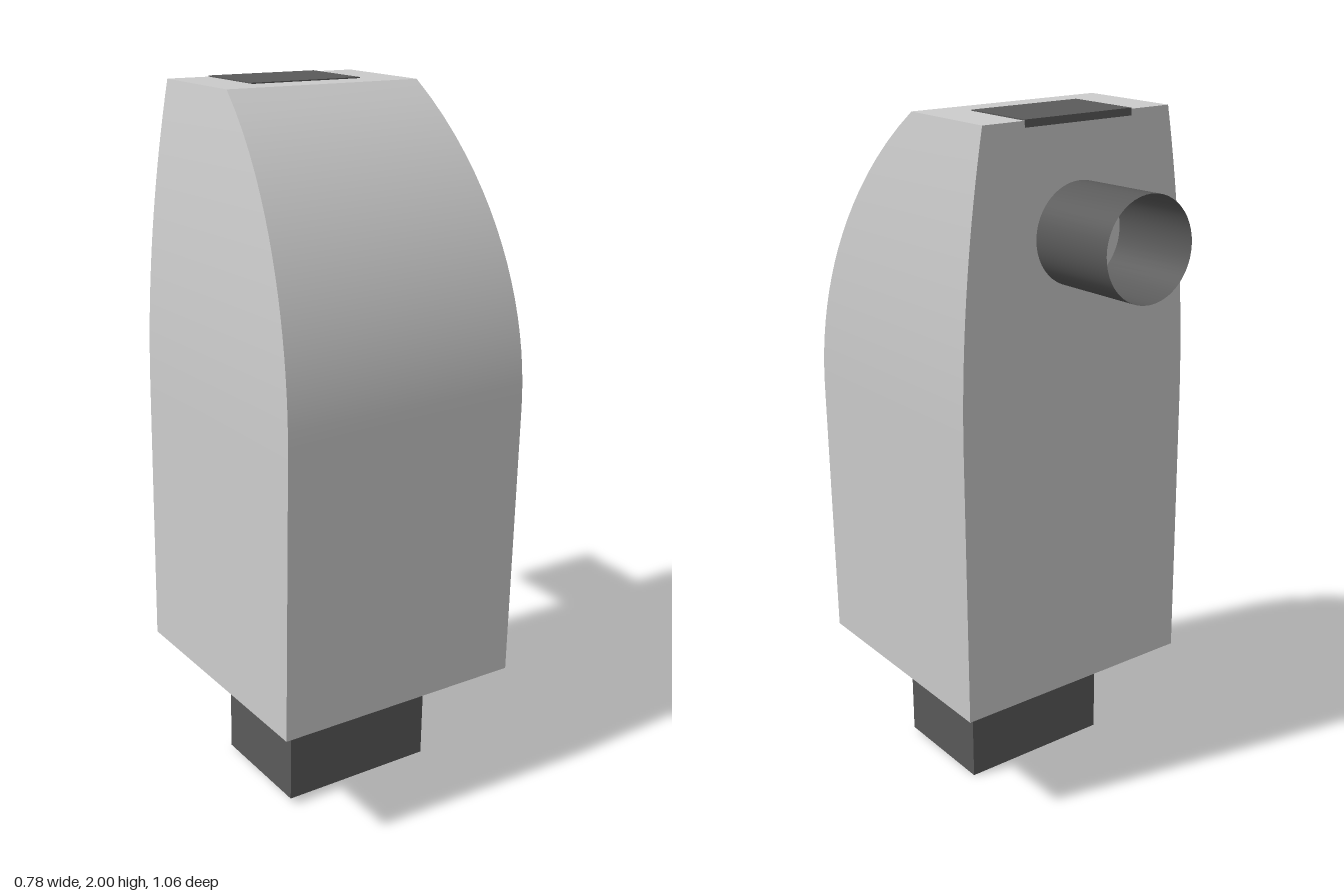
import * as THREE from 'three';

const HEIGHT = 1.645, STRAIGHT = 0.8;

// Inset of a circular arc that starts vertical at STRAIGHT and reaches `inset` at HEIGHT
function arcInset(y, inset) {
  const rise = HEIGHT - STRAIGHT;
  const radius = (inset * inset + rise * rise) / (2 * inset);
  const dy = Math.max(0, y - STRAIGHT);
  return radius - Math.sqrt(radius * radius - dy * dy);
}

export function createModel() {
  const light = new THREE.MeshStandardMaterial({ color: 0xcccccc });
  const dark = new THREE.MeshStandardMaterial({ color: 0x5a5a5a });
  const darkOpen = new THREE.MeshStandardMaterial({ color: 0x5a5a5a, side: THREE.DoubleSide });

  const add = (parent, name, geometry, material, x, y, z) => {
    const mesh = new THREE.Mesh(geometry, material);
    mesh.name = name;
    mesh.position.set(x, y, z);
    parent.add(mesh);
    return mesh;
  };

  const model = new THREE.Group();
  model.name = 'model';

  // Slightly leaning assembly, origin at the centre of the body's underside
  const leaning = new THREE.Group();
  leaning.name = 'leaningAssembly';
  leaning.position.set(-0.012, 0.35, 0.16);
  leaning.rotation.set(-0.025, 0, -0.026);
  model.add(leaning);

  // Body: flat back, front swept back strongly, sides gently drawn in
  const body = new THREE.BoxGeometry(0.755, HEIGHT, 0.74, 1, 36, 1);
  body.translate(0, HEIGHT / 2, 0);
  const p = body.attributes.position;
  for (let i = 0; i < p.count; i++) {
    const x = p.getX(i), y = p.getY(i), z = p.getZ(i);
    p.setX(i, x - Math.sign(x) * arcInset(y, 0.077));
    if (z > 0) p.setZ(i, z - arcInset(y, 0.42));
  }
  body.computeVertexNormals();
  add(leaning, 'body', body, light, 0, 0, 0);

  // Foot block below the body
  add(leaning, 'footBlock', new THREE.BoxGeometry(0.47, 0.36, 0.34), dark, 0, -0.16, 0);

  // Dark plate set nearly flush in the top, against the back edge
  add(leaning, 'topPlate', new THREE.BoxGeometry(0.345, 0.02, 0.232), dark, 0, HEIGHT - 0.007, -0.2545);

  // Open pipe on the back, level
  const pipe = new THREE.CylinderGeometry(0.139, 0.139, 0.295, 48, 1, true);
  pipe.rotateX(Math.PI / 2);
  add(model, 'backPipe', pipe, darkOpen, 0.022, 1.68, -0.3775);

  return model;
}
